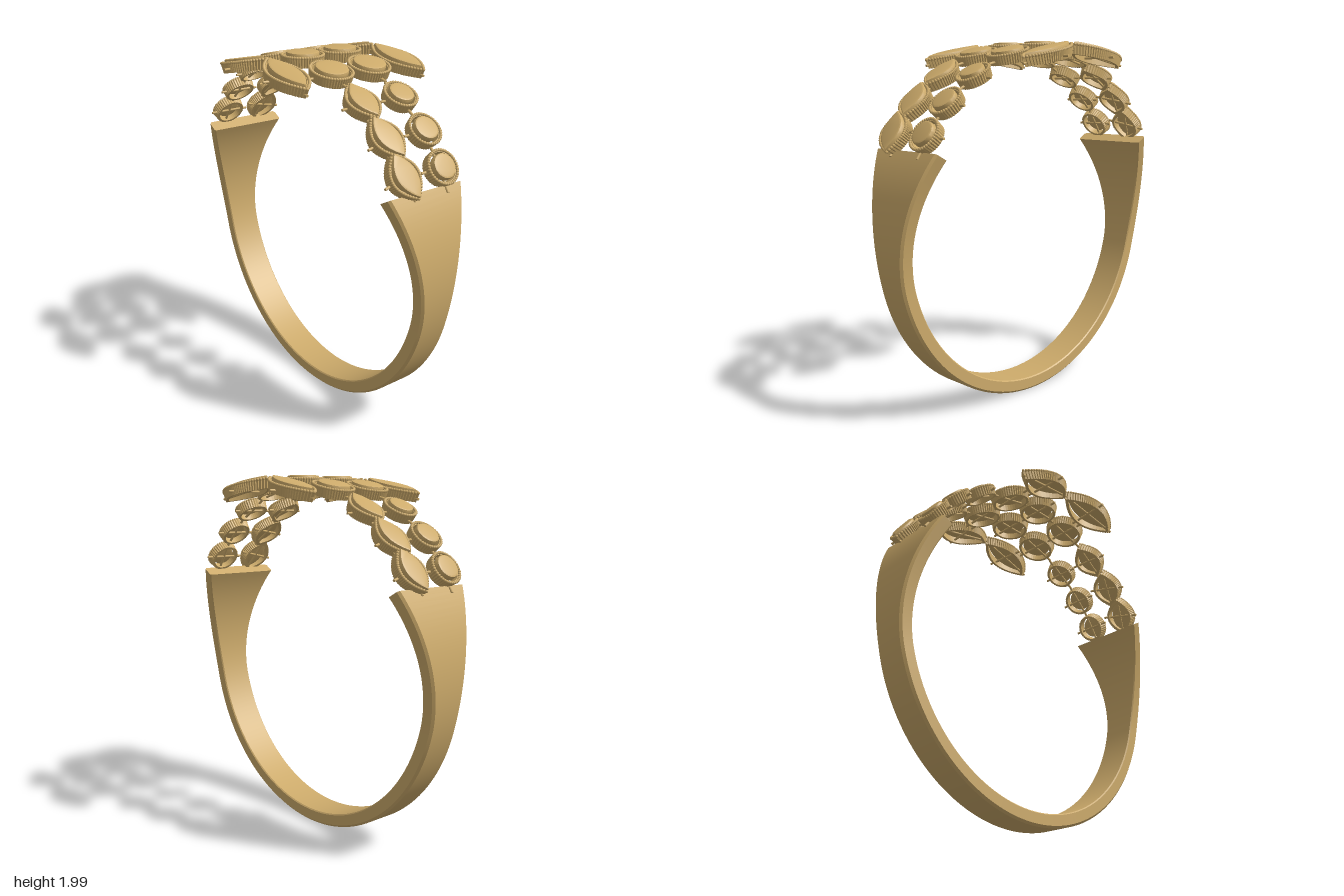
import * as THREE from 'three';
import { mergeGeometries, toCreasedNormals } from 'three/addons/utils/BufferGeometryUtils.js';

const gold = new THREE.MeshStandardMaterial({ color: 0xcdab6b, side: THREE.DoubleSide });
const CENTER_Y = 0.965, R_IN = 0.89, R_OUT = 0.965;

function mesh(name, geometry) {
  const m = new THREE.Mesh(geometry, gold);
  m.name = name;
  return m;
}

// Closed outline: an ellipse, or a pointed marquise made of two arcs
function outline(a, b, pointed, n) {
  const pts = [];
  for (let i = 0; i < n; i++) {
    if (pointed) {
      const h = n / 2, side = i < h ? 1 : -1;
      const u = side * (1 - 2 * (i % h) / h);
      pts.push(new THREE.Vector2(a * u, side * b * (1 - u * u)));
    } else {
      const t = i / n * Math.PI * 2;
      pts.push(new THREE.Vector2(a * Math.cos(t), b * Math.sin(t)));
    }
  }
  return pts;
}

// Open shank: chamfered section swept around the finger, flaring towards its ends
function shankGeometry() {
  const steps = 120, c = 0.012, start = THREE.MathUtils.degToRad(29.7);
  const sweep = Math.PI + 2 * start, pos = [], idx = [], K = 8;
  for (let i = 0; i <= steps; i++) {
    const t = start - sweep * i / steps;
    const y = CENTER_Y + R_OUT * Math.sin(t);
    const f = Math.max(0, (y - 0.72) / 0.72);
    const w = 0.095 + 0.142 * Math.pow(f, 1.8);
    const section = [
      [R_IN, -w + c / 2], [R_IN, w - c / 2], [R_IN + c / 2, w], [R_OUT - c, w],
      [R_OUT, w - c], [R_OUT, -w + c], [R_OUT - c, -w], [R_IN + c / 2, -w]];
    for (const [r, z] of section) pos.push(r * Math.cos(t), CENTER_Y + r * Math.sin(t), z);
  }
  for (let i = 0; i < steps; i++) for (let k = 0; k < K; k++) {
    const p = i * K + k, q = i * K + (k + 1) % K;
    idx.push(p, q, p + K, q, q + K, p + K);
  }
  const last = steps * K;
  for (let k = 1; k < K - 1; k++) {
    idx.push(0, k + 1, k);
    idx.push(last, last + k, last + k + 1);
  }
  // Wind every face outwards
  for (let i = 0; i < idx.length; i += 3) [idx[i + 1], idx[i + 2]] = [idx[i + 2], idx[i + 1]];
  const g = new THREE.BufferGeometry();
  g.setAttribute('position', new THREE.Float32BufferAttribute(pos, 3));
  g.setIndex(idx);
  const volume = signedVolume(pos, idx);
  if (volume < 0) for (let i = 0; i < idx.length; i += 3) [idx[i + 1], idx[i + 2]] = [idx[i + 2], idx[i + 1]];
  g.setIndex(idx);
  return toCreasedNormals(g, 0.5);
}

function signedVolume(pos, idx) {
  const v = (i) => new THREE.Vector3(pos[3 * i], pos[3 * i + 1], pos[3 * i + 2]);
  let sum = 0;
  for (let i = 0; i < idx.length; i += 3) sum += v(idx[i]).dot(v(idx[i + 1]).cross(v(idx[i + 2])));
  return sum;
}

// One setting: ribbed wall, beaded rim, raised stone and the bars that carry it
function setting(name, a, b, pointed, stoneA, stoneB) {
  const g = new THREE.Group();
  g.name = name;
  const perimeter = pointed ? 4 * Math.hypot(a, b * 1.1) : 2 * Math.PI * a;
  const count = 2 * Math.round(perimeter / 0.029);

  // Wall with vertical ribs, slightly narrower at the bottom
  const H = 0.048, t = 0.017;
  const ribs = outline(a, b, pointed, count * 2);
  ribs.forEach((p, i) => { if (i % 2) p.multiplyScalar(0.965); });
  const shape = new THREE.Shape(ribs);
  shape.holes.push(new THREE.Path(outline(a - t * (pointed ? 1.7 : 1), b - t, pointed, 40)));
  const wall = new THREE.ExtrudeGeometry(shape, { depth: H, bevelEnabled: false });
  wall.rotateX(-Math.PI / 2);
  const p = wall.attributes.position;
  for (let i = 0; i < p.count; i++) {
    const s = 0.93 + 0.07 * p.getY(i) / H;
    p.setXYZ(i, p.getX(i) * s, p.getY(i), p.getZ(i) * s);
  }
  wall.computeVertexNormals();
  g.add(mesh('ribbedWall', wall));

  // Beaded rim
  const beads = outline(a - 0.007, b - 0.007, pointed, count).map((q) =>
    new THREE.SphereGeometry(0.0088, 6, 5).translate(q.x, H + 0.003, q.y));
  g.add(mesh('beadedRim', mergeGeometries(beads)));

  // Stone with a bevelled table
  const bevel = 0.009;
  const stone = new THREE.ExtrudeGeometry(
    new THREE.Shape(outline(stoneA - bevel, stoneB - bevel, pointed, 48)),
    { depth: 0.024, bevelThickness: bevel, bevelSize: bevel, bevelSegments: 2 });
  stone.rotateX(-Math.PI / 2).translate(0, 0.037, 0);
  g.add(mesh('stone', toCreasedNormals(stone, 0.5)));

  // Crossed bars reaching to the neighbouring settings
  const bar = (len) => new THREE.CylinderGeometry(0.007, 0.007, len, 8);
  g.add(mesh('supportBars', mergeGeometries([
    bar(2 * a + (pointed ? 0 : 0.06)).rotateZ(Math.PI / 2).translate(0, 0.02, 0),
    bar(2 * b + 0.05).rotateX(Math.PI / 2).translate(0, 0.02, 0)])));
  return g;
}

// Sets a piece on the ring: angle from the top, depth z, radius of its base, yaw in its own plane
function place(piece, degrees, z, radius, yaw = 0) {
  const phi = THREE.MathUtils.degToRad(degrees);
  piece.position.set(radius * Math.sin(phi), CENTER_Y + radius * Math.cos(phi), z);
  piece.rotation.set(0, yaw, -phi, 'ZXY');
  return piece;
}

// Half of the crown; the other half is the same turned about the vertical axis
function halfCrown(name) {
  const g = new THREE.Group();
  g.name = name;
  for (const deg of [-14.4, 0, 14.4])
    g.add(place(setting('largeRoundSetting', 0.116, 0.116, false, 0.087, 0.087), deg, 0.122, deg ? 0.948 : 0.957));
  for (const s of [-1, 1])
    g.add(place(setting('outerMarquiseSetting', 0.205, 0.102, true, 0.178, 0.069), s * 11.5, 0.36, 0.94, -s * 0.07));
  [30, 43.3, 55.3].forEach((deg, i) => {
    g.add(place(setting('smallMarquiseSetting', 0.127, 0.094, true, 0.116, 0.066), deg, 0.122, 0.943, [0.05, 0.25, 0.25][i]));
    g.add(place(setting('smallRoundSetting', 0.094, 0.094, false, 0.066, 0.066), -deg, 0.122, 0.943));
  });
  return g;
}

export function createModel() {
  const model = new THREE.Group();
  model.name = 'ring';
  model.add(mesh('shank', shankGeometry()));
  const front = halfCrown('frontCrown'), back = halfCrown('backCrown');
  back.rotation.y = Math.PI;
  model.add(front, back);
  return model;
}
